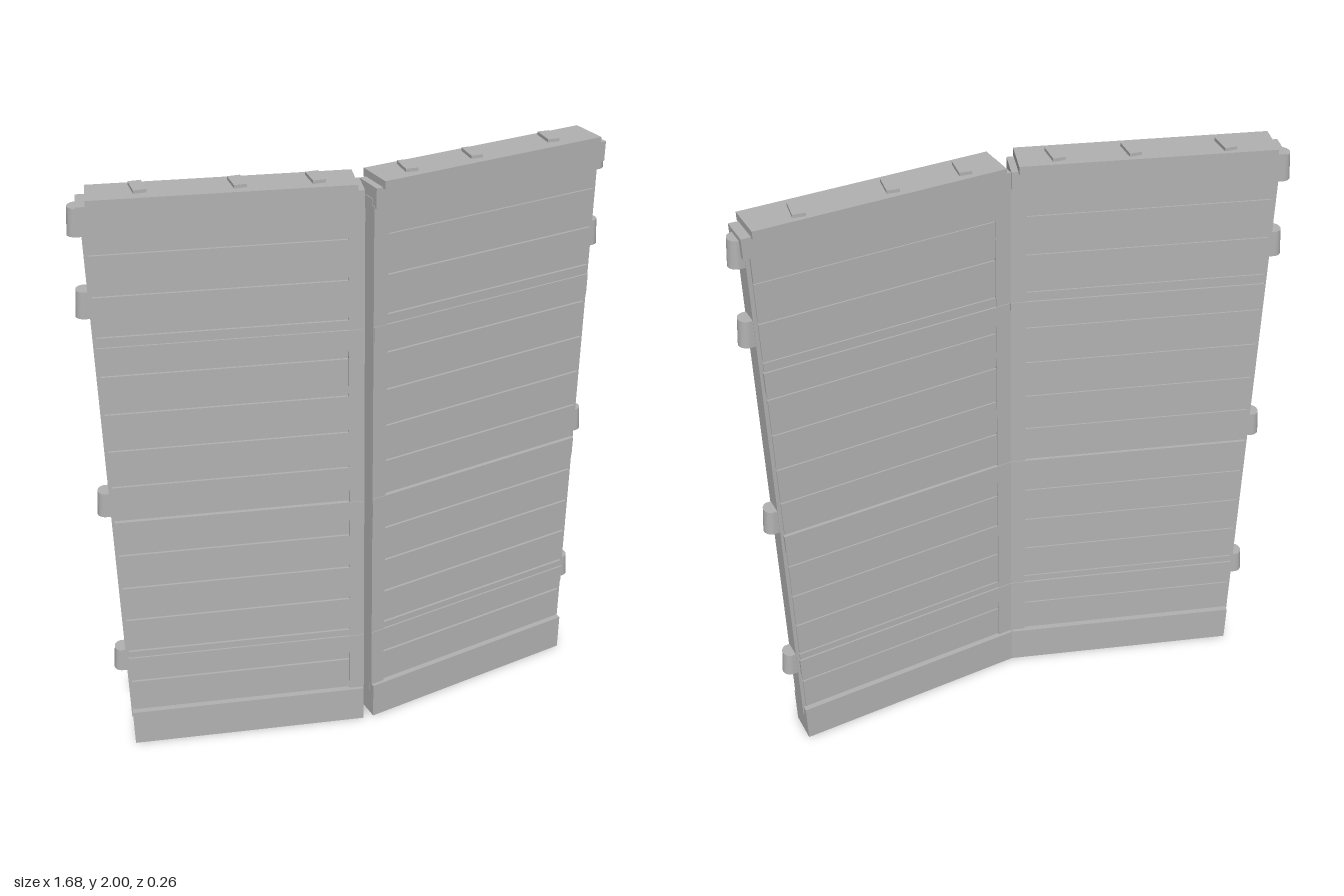
import * as THREE from 'three';

const ANGLE = THREE.MathUtils.degToRad(10);

export function createModel() {
  const model = new THREE.Group();
  model.name = 'foldingPanelWall';
  const grey = new THREE.MeshStandardMaterial({ color: 0xb2b2b2 });
  grey.name = 'plain grey';

  const add = (parent, name, geometry) => {
    const mesh = new THREE.Mesh(geometry, grey);
    mesh.name = name;
    parent.add(mesh);
    return mesh;
  };

  // Half-round knuckle with a slight outward taper towards its foot
  const knuckleGeometry = (s) => {
    const shape = new THREE.Shape();
    shape.moveTo(-0.028, 0);
    shape.lineTo(0.028, 0);
    shape.lineTo(0.028, 0.02);
    shape.absarc(0, 0.02, 0.028, 0, Math.PI, false);
    shape.closePath();
    const g = new THREE.ExtrudeGeometry(shape, { depth: 0.085, bevelEnabled: false, curveSegments: 12 });
    g.translate(0, 0, -0.0425);
    g.rotateX(-Math.PI / 2); // depth becomes height, bulge points to -z
    g.rotateY(-s * Math.PI / 2); // bulge points to the outer side
    const p = g.attributes.position;
    for (let i = 0; i < p.count; i++) {
      if (p.getY(i) > 0) p.setX(i, p.getX(i) * 0.84);
    }
    g.computeVertexNormals();
    return g;
  };

  for (const s of [1, -1]) {
    const panel = new THREE.Group();
    panel.name = s > 0 ? 'leftPanel' : 'rightPanel';
    panel.position.z = 0.072;
    panel.rotation.y = s * ANGLE;
    model.add(panel);

    // Box given by its extents along the panel, in height, and in depth
    const slab = (name, x0, x1, y0, y1, z0, z1) => {
      const mesh = add(panel, name, new THREE.BoxGeometry(x1 - x0, y1 - y0, z1 - z0));
      mesh.position.set(s * (x0 + x1) / 2, (y0 + y1) / 2, (z0 + z1) / 2);
    };

    // Core, plinth and stepped cap
    slab('core', 0.007, 0.812, 0.1, 1.93, -0.033, 0.03);
    slab('plinth', 0.009, 0.808, 0, 0.135, -0.052, 0.052);
    slab('topRail', 0.007, 0.8, 1.82, 1.91, -0.042, 0.042);
    slab('capBase', 0.009, 0.822, 1.905, 1.968, -0.05, 0.05);
    slab('cap', 0.03, 0.793, 1.965, 1.99, -0.0625, 0.0625);

    // Horizontal boards with narrow grooves, on both faces
    const pitch = (1.82 - 0.135) / 13;
    for (let i = 0; i < 13; i++) {
      const y = 0.135 + i * pitch;
      slab('board', 0.054, 0.8, y + 0.005, y + pitch - 0.005, -0.038, 0.038);
    }

    // Inner stile and cross rails
    slab('innerStile', 0.007, 0.056, 0.135, 1.82, -0.041, 0.041);
    for (const y of [0.295, 0.84, 1.455]) {
      slab('crossRail', 0.008, 0.803, y, y + 0.07, -0.0435, 0.0435);
    }

    // Knuckles on the outer edge
    for (const y of [0.347, 0.967, 1.657, 1.912]) {
      const knuckle = add(panel, 'hingeKnuckle', knuckleGeometry(s));
      knuckle.position.set(s * 0.806, y, -0.003);
    }

    // Stacking pegs on the cap
    for (const [x, z] of [[0.14, 0.043], [0.36, 0.004], [0.635, -0.05]]) {
      const peg = add(model, 'stackingPeg', new THREE.BoxGeometry(0.038, 0.02, 0.075));
      peg.position.set(s * x, 1.99, z);
    }
  }

  // Slim hinge joining the two panels
  const pin = add(model, 'centreHinge', new THREE.CylinderGeometry(0.006, 0.006, 1.92, 10));
  pin.position.set(0, 0.99, 0.04);

  return model;
}
